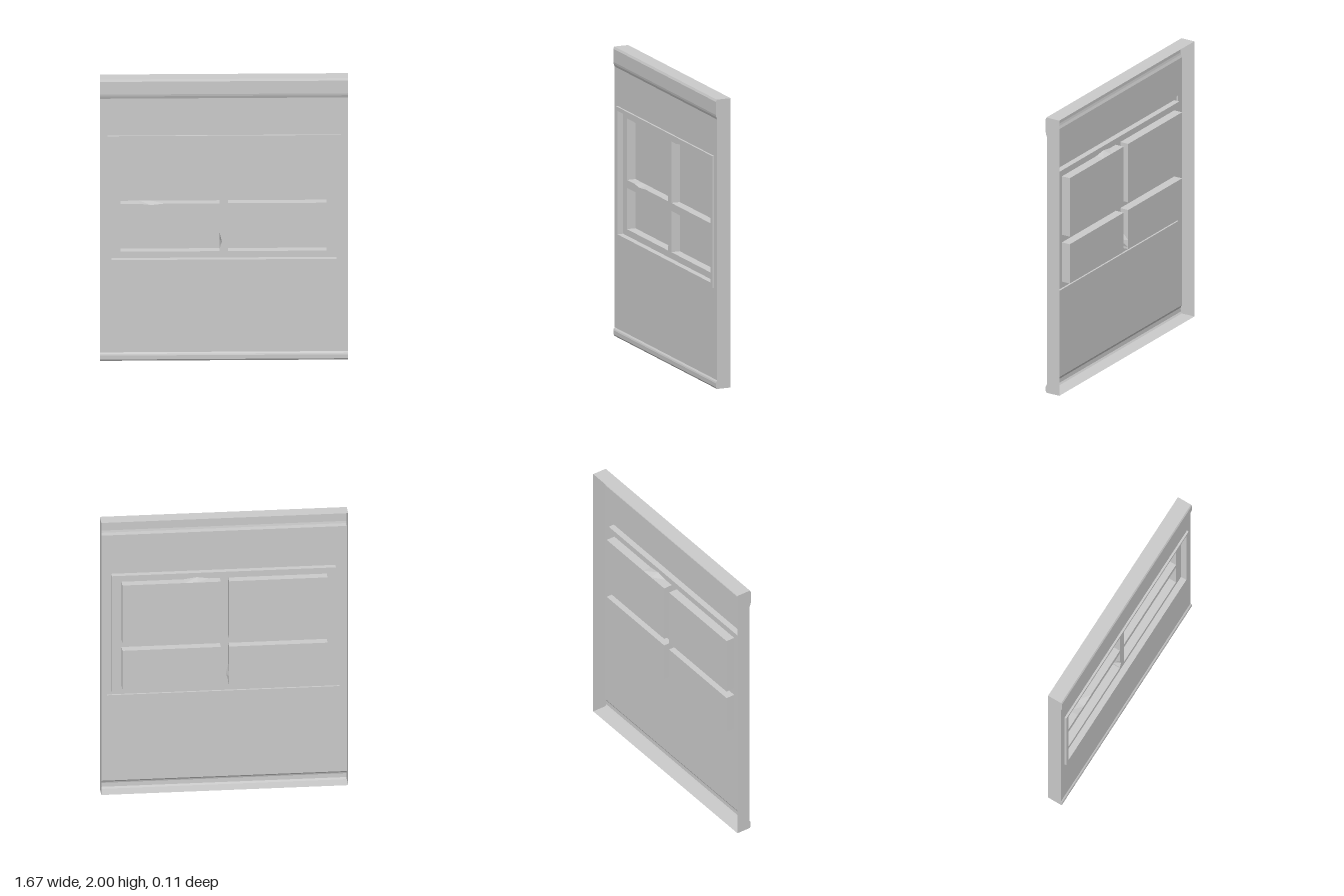
import * as THREE from 'three';

const material = new THREE.MeshStandardMaterial({ color: 0xcccccc, flatShading: true, side: THREE.DoubleSide });
const W = 0.833, BACK = -0.057, FACE = 0.043, LIP = 0.057, RECESS = 0.015, PANE = -0.048;

const rect = (x0, x1, y0, y1) => [[x0, y0], [x1, y0], [x1, y1], [x0, y1]];

// Flat sheet in the xy plane at depth z, with openings
function sheet(outline, holes, z) {
  const toVectors = (pts) => pts.map(([x, y]) => new THREE.Vector2(x, y));
  const shape = new THREE.Shape(toVectors(outline));
  holes.forEach((h) => shape.holes.push(new THREE.Path(toVectors(h))));
  return new THREE.ShapeGeometry(shape).translate(0, 0, z);
}

// Strip of quads joining two rows of 3D points
function loft(a, b, closed) {
  const pos = [];
  const n = closed ? a.length : a.length - 1;
  for (let i = 0; i < n; i++) {
    const j = (i + 1) % a.length;
    pos.push(...a[i], ...b[i], ...b[j], ...a[i], ...b[j], ...a[j]);
  }
  const g = new THREE.BufferGeometry();
  g.setAttribute('position', new THREE.Float32BufferAttribute(pos, 3));
  g.computeVertexNormals();
  return g;
}

const atDepth = (pts, z) => pts.map(([x, y]) => [x, y, z]);

// Walls from an outline at depth z0 to a matching outline at depth z1
const walls = (from, z0, to, z1) => loft(atDepth(from, z0), atDepth(to, z1), true);

export function createModel() {
  const group = new THREE.Group();
  const add = (name, geometry) => {
    const mesh = new THREE.Mesh(geometry, material);
    mesh.name = name;
    group.add(mesh);
  };

  // Side profile [z, y] of the hollow shell: bottom and top mouldings
  const bottom = [[BACK, 0], [0.044, 0], [0.052, 0.012], [0.053, 0.04], [0.05, 0.05], [FACE, 0.06]];
  const top = [[FACE, 1.862], [0.05, 1.88], [0.053, 1.895], [0.053, 1.985], [0.046, 2], [BACK, 2]];
  const sweep = (profile) => loft(
    profile.map(([z, y]) => [-W, y, z]),
    profile.map(([z, y]) => [W, y, z]), false);
  add('bottomMoulding', sweep(bottom));
  add('topMoulding', sweep(top));

  // End walls follow the same profile
  for (const side of [-1, 1]) {
    const end = sheet([...bottom, ...top].map(([z, y]) => [-z, y]), [], 0).rotateY(Math.PI / 2);
    if (side < 0) end.scale(1, 1, 1).translate(-W, 0, 0);
    else end.translate(W, 0, 0);
    add(side < 0 ? 'rightSideWall' : 'leftSideWall', end);
  }

  // Face sheet around the window frame
  const frameOuter = rect(-0.785, 0.785, 0.687, 1.6);
  const frameInner = rect(-0.757, 0.755, 0.72, 1.573);
  add('facePanel', sheet(rect(-W, W, 0.06, 1.862), [frameOuter], FACE));

  // Raised lip of the frame and the step down into it
  add('frameOuterEdge', walls(frameOuter, LIP, frameOuter, FACE));
  add('frameLip', sheet(frameOuter, [frameInner], LIP));
  add('frameInnerEdge', walls(frameInner, RECESS, frameInner, LIP));

  // Four sunken panes; each front edge carries a small chip: [edge, start, peak, end, depth]
  const panes = [
    { box: [-0.695, -0.03, 1.105, 1.53], chip: [0, -0.57, -0.49, -0.4, -0.01] },
    { box: [0.026, 0.69, 1.105, 1.53], chip: [2, 0.27, 0.18, 0.1, 0.012] },
    { box: [-0.695, -0.03, 0.765, 1.05], chip: [1, 0.78, 0.83, 0.9, 0.016] },
    { box: [0.026, 0.69, 0.765, 1.05], chip: null },
  ];
  const openings = [];
  panes.forEach(({ box, chip }, i) => {
    const back = rect(...box);
    const front = rect(...box);
    if (chip) {
      const [edge, s, p, e, d] = chip;
      const [cx, cy] = back[edge];
      const vertical = edge % 2 === 1;
      const point = (t, off) => (vertical ? [cx + off, t] : [t, cy + off]);
      back.splice(edge + 1, 0, point(s, 0), point(p, 0), point(e, 0));
      front.splice(edge + 1, 0, point(s, 0), point(p, d), point(e, 0));
    }
    openings.push(front);
    add('paneReveal' + (i + 1), walls(back, PANE, front, RECESS));
    add('pane' + (i + 1), sheet(rect(...box), [], PANE));
  });

  // Sash sheet with the cross bars
  add('sashBars', sheet(frameInner, openings, RECESS));
  return group;
}
